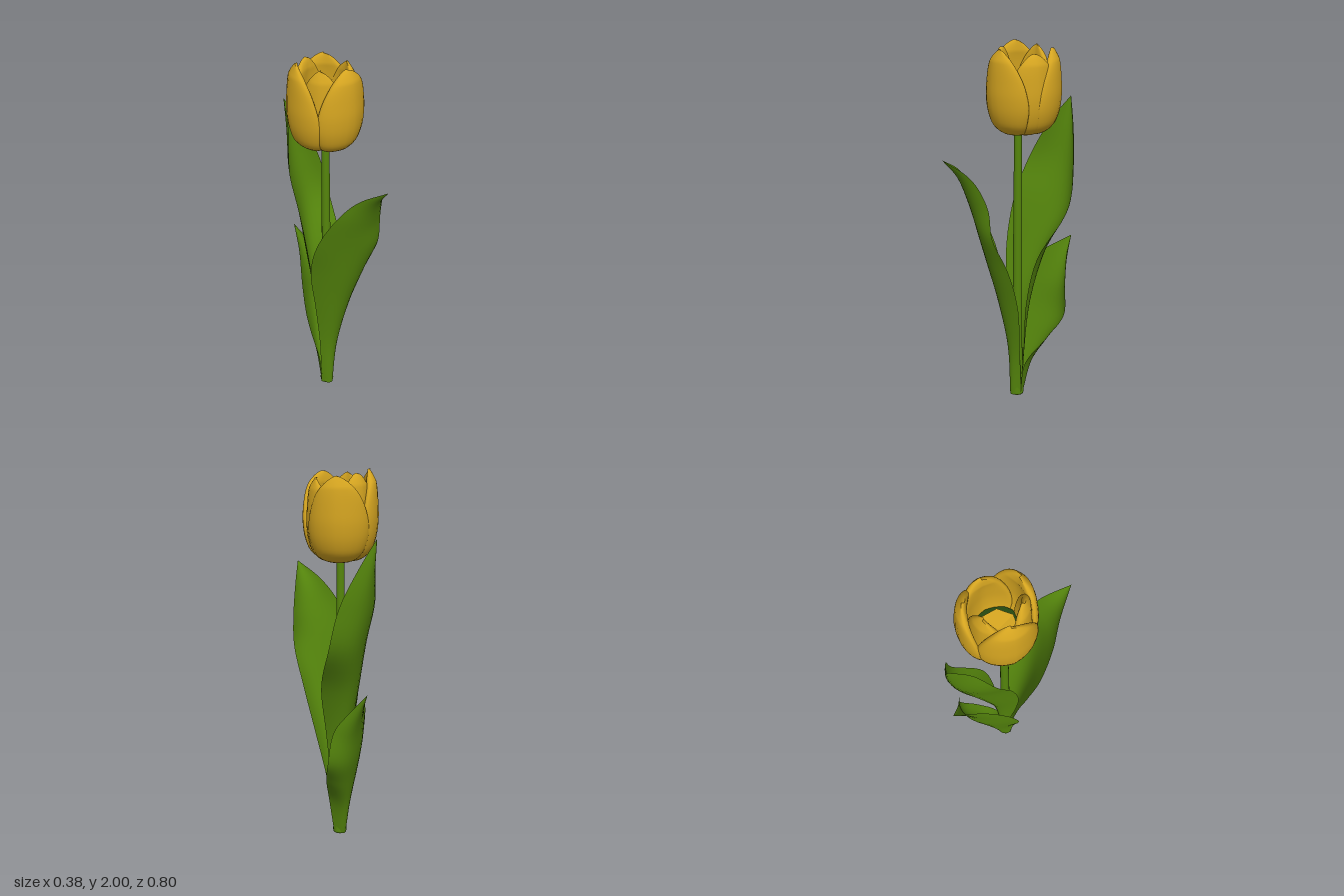
import * as THREE from 'three';

const green = new THREE.MeshStandardMaterial({ color: 0x54840c, side: THREE.DoubleSide });
green.name = 'leaf green';
const darkGreen = new THREE.MeshStandardMaterial({ color: 0x24480f });
darkGreen.name = 'deep green';
const yellow = new THREE.MeshStandardMaterial({ color: 0xd4a420 });
yellow.name = 'petal yellow';

// Smooth surface from a rule point(i, j); closed wraps around in j
function loft(rows, cols, closed, point) {
  const pos = [], idx = [];
  const n = closed ? cols : cols + 1;
  for (let i = 0; i <= rows; i++)
    for (let j = 0; j < n; j++) pos.push(...point(i / rows, j / cols));
  for (let i = 0; i < rows; i++)
    for (let j = 0; j < cols; j++) {
      const k = (j + 1) % n, a = i * n + j, b = i * n + k;
      idx.push(a, a + n, b, b, a + n, b + n);
    }
  const g = new THREE.BufferGeometry();
  g.setAttribute('position', new THREE.Float32BufferAttribute(pos, 3));
  g.setIndex(idx);
  g.computeVertexNormals();
  return g;
}

// Leaf: each station lists one edge, the midrib and the other edge
function makeLeaf(name, stations) {
  const [right, mid, left] = [0, 1, 2].map((k) =>
    new THREE.CatmullRomCurve3(stations.map((s) => new THREE.Vector3(...s[k % s.length]))));
  const g = loft(40, 12, false, (t, v) => {
    const u = v * 2 - 1;
    return new THREE.Vector3()
      .addScaledVector(right.getPoint(t), u * (u - 1) / 2)
      .addScaledVector(mid.getPoint(t), 1 - u * u)
      .addScaledVector(left.getPoint(t), u * (u + 1) / 2)
      .toArray();
  });
  const m = new THREE.Mesh(g, green);
  m.name = name;
  return m;
}

// Petal: thick cupped shell with rounded edges, one edge lapping outwards
function makePetal(name, degrees, radius, height, halfWidth, thick) {
  const azimuth = THREE.MathUtils.degToRad(degrees);
  const profile = new THREE.CatmullRomCurve3(
    [[0.1, 0], [0.5, 0.015], [0.77, 0.09], [0.93, 0.24], [1, 0.44], [0.99, 0.64], [0.95, 0.83], [0.87, 1]]
      .map(([r, y]) => new THREE.Vector3(r * radius, y * height, 0)));
  const g = loft(40, 32, true, (t, v) => {
    const a = v * Math.PI * 2, s = Math.cos(a), c = Math.sin(a);
    // Rows crowd towards the tip so that it stays round
    const q = 1 - Math.pow(1 - t, 1.6);
    const p = profile.getPoint(q);
    const top = Math.max(0, (q - 0.42) / 0.58);
    const taper = Math.pow(Math.max(0, 1 - Math.pow(top, 2)), 0.65);
    const az = azimuth + s * halfWidth * taper * (0.85 + 0.15 * Math.min(1, q * 2));
    const rib = 0.004 * Math.exp(-s * s * 30) * Math.sin(q * Math.PI);
    const round = Math.sign(c) * Math.pow(Math.abs(c), 0.75);
    const body = thick * round * Math.min(1, taper * 2) * Math.min(1, 0.3 + q * 3);
    const r = p.x + body + rib + 0.008 * s * q;
    return [Math.sin(az) * r, p.y - (q < 0.25 ? body * (1 - q * 4) : 0), Math.cos(az) * r];
  });
  const m = new THREE.Mesh(g, yellow);
  m.name = name;
  return m;
}

export function createModel() {
  const model = new THREE.Group();
  model.name = 'tulip';

  // Stem, flared at the foot
  const stem = new THREE.Mesh(new THREE.LatheGeometry(
    [[0, 0], [0.036, 0], [0.038, 0.01], [0.034, 0.15], [0.027, 0.35], [0.024, 0.9], [0.02, 1.56], [0, 1.56]]
      .map(([r, y]) => new THREE.Vector2(r, y)), 24), green);
  stem.name = 'stem';
  stem.position.set(-0.018, 0, -0.057);
  model.add(stem);

  // Leaves
  model.add(makeLeaf('frontLeaf', [
    [[-0.06, 0, -0.06], [-0.02, 0, -0.015], [0.02, 0, -0.06]],
    [[-0.075, 0.3, -0.05], [-0.02, 0.3, 0], [0.045, 0.3, -0.03]],
    [[-0.115, 0.6, -0.04], [-0.02, 0.6, 0.065], [0.095, 0.6, 0.02]],
    [[-0.16, 0.85, -0.02], [-0.02, 0.85, 0.14], [0.12, 0.85, 0.105]],
    [[-0.18, 1.05, 0.05], [-0.02, 1.05, 0.2], [0.12, 1.05, 0.2]],
    [[-0.15, 1.25, 0.16], [-0.02, 1.22, 0.25], [0.11, 1.22, 0.22]],
    [[-0.09, 1.38, 0.26], [-0.02, 1.36, 0.31], [0.06, 1.37, 0.285]],
    [[-0.02, 1.47, 0.4]],
  ]));
  model.add(makeLeaf('tallBackLeaf', [
    [[-0.055, 0, -0.05], [-0.02, 0, -0.092], [0.018, 0, -0.05]],
    [[-0.06, 0.3, -0.06], [-0.02, 0.3, -0.1], [0.04, 0.3, -0.06]],
    [[-0.1, 0.6, -0.05], [-0.01, 0.6, -0.13], [0.07, 0.61, -0.055]],
    [[-0.13, 0.87, -0.06], [0, 0.87, -0.205], [0.12, 0.88, -0.09]],
    [[-0.14, 1.15, -0.12], [0.02, 1.13, -0.3], [0.17, 1.14, -0.25]],
    [[-0.13, 1.36, -0.21], [0.01, 1.35, -0.355], [0.14, 1.36, -0.3]],
    [[-0.06, 1.57, -0.3], [0, 1.55, -0.385], [0.06, 1.56, -0.355]],
    [[-0.01, 1.7, -0.398]],
  ]));
  model.add(makeLeaf('shortBackLeaf', [
    [[-0.055, 0, -0.055], [-0.02, 0, -0.096], [0.018, 0, -0.055]],
    [[-0.08, 0.2, -0.05], [-0.01, 0.18, -0.14], [0.055, 0.22, -0.06]],
    [[-0.13, 0.4, -0.06], [0.01, 0.35, -0.2], [0.125, 0.38, -0.15]],
    [[-0.15, 0.55, -0.08], [0.02, 0.5, -0.25], [0.17, 0.52, -0.24]],
    [[-0.125, 0.71, -0.14], [0.03, 0.66, -0.285], [0.145, 0.7, -0.26]],
    [[-0.05, 0.835, -0.25], [0.03, 0.8, -0.335], [0.08, 0.82, -0.32]],
    [[0.03, 0.92, -0.392]],
  ]));

  // Blossom: three outer and three inner petals
  const blossom = new THREE.Group();
  blossom.name = 'blossom';
  blossom.position.set(-0.002, 1.554, -0.075);
  const outer = [[4, 0.43], [142, 0.425], [250, 0.445]];
  const inner = [[80, 0.41, 0.146], [195, 0.432, 0.128], [308, 0.425, 0.128]];
  for (const [degrees, height] of outer)
    blossom.add(makePetal('outerPetal', degrees, 0.168, height, 1.08, 0.026));
  for (const [degrees, height, radius] of inner)
    blossom.add(makePetal('innerPetal', degrees, radius, height, 1.08, 0.023));

  // Deep green ring and shallow faceted yellow heart inside the cup
  const floor = new THREE.Mesh(new THREE.CylinderGeometry(0.118, 0.09, 0.03, 24), darkGreen);
  floor.name = 'blossomFloor';
  floor.position.y = 0.085;
  const heartShape = new THREE.LatheGeometry(
    [new THREE.Vector2(0.096, 0.018), new THREE.Vector2(0, 0)], 7).toNonIndexed();
  heartShape.computeVertexNormals();
  const heart = new THREE.Mesh(heartShape, yellow);
  heart.name = 'blossomHeart';
  heart.position.y = 0.101;
  blossom.add(floor, heart);
  model.add(blossom);
  return model;
}
